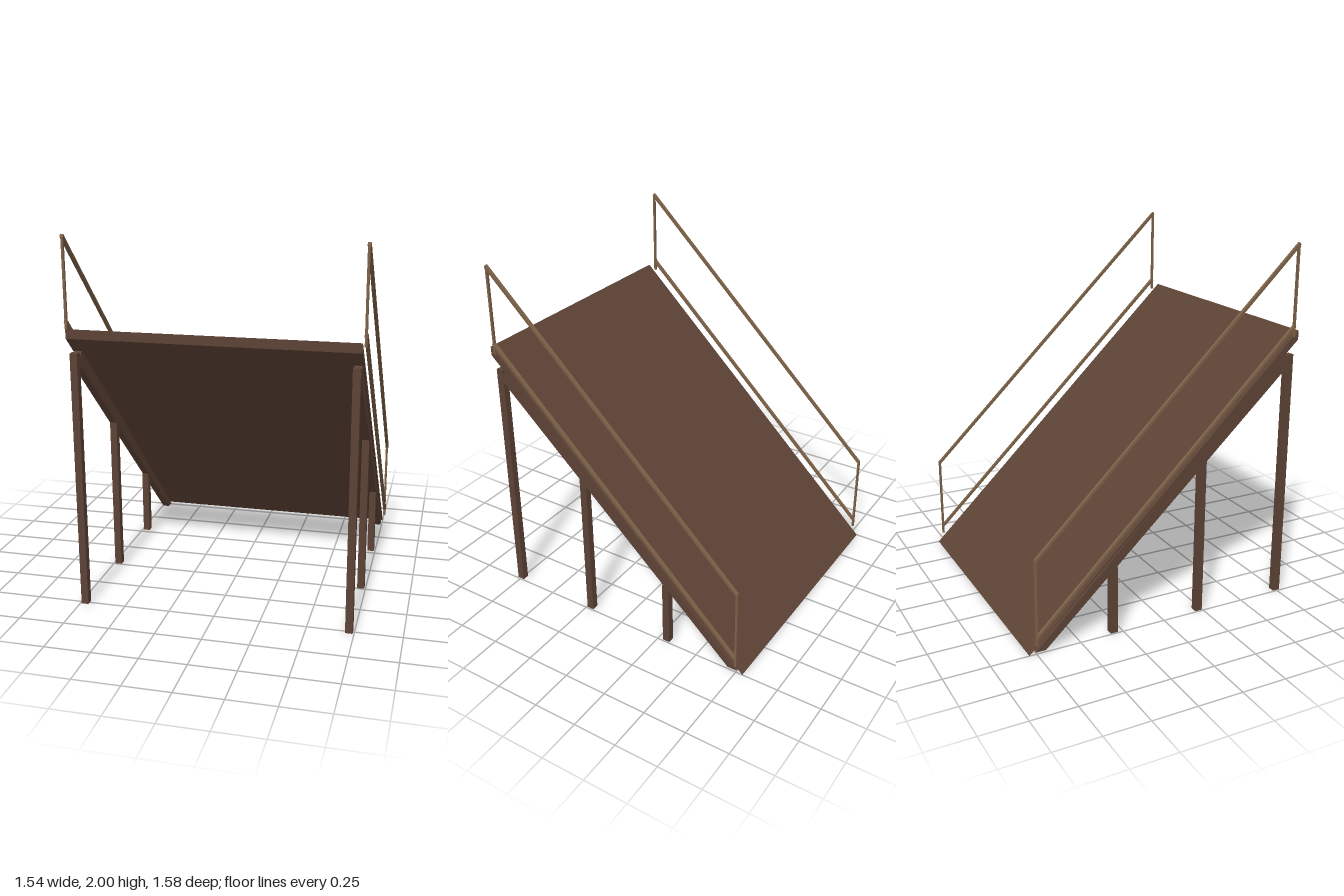
import * as THREE from 'three';

const wood = new THREE.MeshStandardMaterial({ color: 0x5d4336 });
wood.name = 'darkWood';
const railWood = new THREE.MeshStandardMaterial({ color: 0x7c6147 });
railWood.name = 'railWood';

// Extrude a [z, y] side profile across the width, centred on x
function sideExtrude(name, points, width, x, material) {
  const shape = new THREE.Shape(points.map(([z, y]) => new THREE.Vector2(-z, y)));
  const geometry = new THREE.ExtrudeGeometry(shape, { depth: width, bevelEnabled: false });
  geometry.translate(0, 0, -width / 2);
  geometry.rotateY(Math.PI / 2);
  const mesh = new THREE.Mesh(geometry, material);
  mesh.name = name;
  mesh.position.x = x;
  return mesh;
}

function box(name, size, position, material) {
  const mesh = new THREE.Mesh(new THREE.BoxGeometry(...size), material);
  mesh.name = name;
  mesh.position.set(...position);
  return mesh;
}

export function createModel() {
  const model = new THREE.Group();
  model.name = 'ramp';

  // Sloping deck, tapering to a thin edge on the ground
  model.add(sideExtrude('deck', [[0.79, 1.53], [0.79, 1.48], [-0.79, 0], [-0.787, 0.004]], 1.5, 0, wood));

  for (const [side, s] of [['left', 1], ['right', -1]]) {
    // Beam under the deck edge, cut flat at the ground
    model.add(sideExtrude(side + 'Beam',
      [[0.735, 1.335], [0.735, 1.37], [0.695, 1.41], [-0.75, 0.005], [-0.695, 0.005]],
      0.04, s * 0.723, wood));

    // Support legs, shorter towards the back
    [[0.75, 1.4], [0.225, 0.89], [-0.3, 0.38]].forEach(([z, h], i) => {
      model.add(box(side + 'Leg' + (i + 1), [0.039, h, 0.041], [s * 0.723, h / 2, z], wood));
    });

    // Handrail: two end posts, a top rail and a lower rail
    const handrail = new THREE.Group();
    handrail.name = side + 'Handrail';
    handrail.add(box('frontPost', [0.013, 0.485, 0.012], [s * 0.761, 1.745, 0.75], railWood));
    handrail.add(box('backPost', [0.013, 0.485, 0.012], [s * 0.761, 0.295, -0.753], railWood));
    for (const [name, y] of [['topRail', 1.98], ['lowerRail', 1.55]]) {
      handrail.add(sideExtrude(name,
        [[0.75, y + 0.02], [0.757, y + 0.007], [0.744, y - 0.008],
          [-0.757, y - 1.465], [-0.757, y - 1.445]],
        0.018, s * 0.762, railWood));
    }
    model.add(handrail);
  }
  return model;
}
